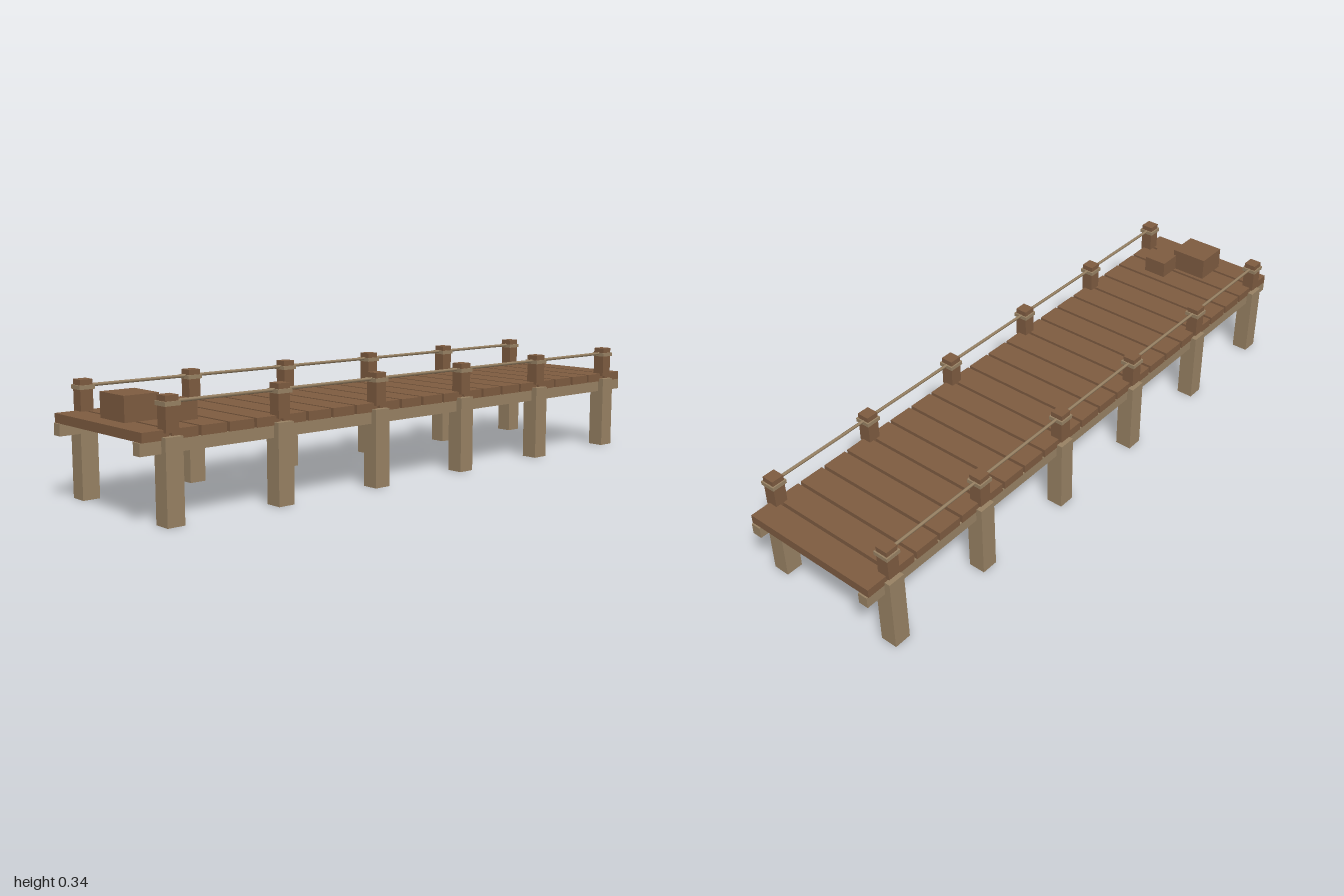
import * as THREE from 'three';

export function createModel() {
  const model = new THREE.Group();
  model.name = 'pier';

  const brown = new THREE.MeshStandardMaterial({ color: 0x7d5b40 });
  brown.name = 'brown wood';
  const tan = new THREE.MeshStandardMaterial({ color: 0x978163 });
  tan.name = 'weathered tan';

  // box given by its size, centre x, bottom y and centre z
  function box(name, material, [w, h, d], x, bottom, z) {
    const mesh = new THREE.Mesh(new THREE.BoxGeometry(w, h, d), material);
    mesh.name = name;
    mesh.position.set(x, bottom + h / 2, z);
    model.add(mesh);
  }

  // deck planks
  const plankCount = 22;
  const pitch = 2 / plankCount;
  for (let i = 0; i < plankCount; i++) {
    box('deckPlank', brown, [0.455, 0.027, 0.081], 0, 0.228, -1 + pitch * (i + 0.5));
  }

  for (const side of [-1, 1]) {
    const x = side * 0.2185;

    // long beam under the planks
    box('sideBeam', tan, [0.032, 0.035, 2], side * 0.209, 0.193, 0);

    // piles with railing posts and rope bindings
    for (let i = 0; i < 6; i++) {
      const z = -0.909 + i * 0.3636;
      box('pile', tan, [0.054, 0.237, 0.054], x, 0, z);
      box('railPost', brown, [0.04, 0.098, 0.04], x, 0.247, z);
      box('ropeBinding', tan, [0.049, 0.012, 0.049], x, 0.317, z);
    }

    // rope running along the posts
    const rope = new THREE.Mesh(new THREE.CylinderGeometry(0.005, 0.005, 1.818, 6), tan);
    rope.name = 'rope';
    rope.rotation.x = Math.PI / 2;
    rope.position.set(x, 0.326, 0);
    model.add(rope);
  }

  // crates at the front end
  box('largeCrate', brown, [0.126, 0.073, 0.109], -0.001, 0.255, 0.89);
  box('smallCrate', brown, [0.08, 0.054, 0.076], 0.091, 0.255, 0.797);

  return model;
}
